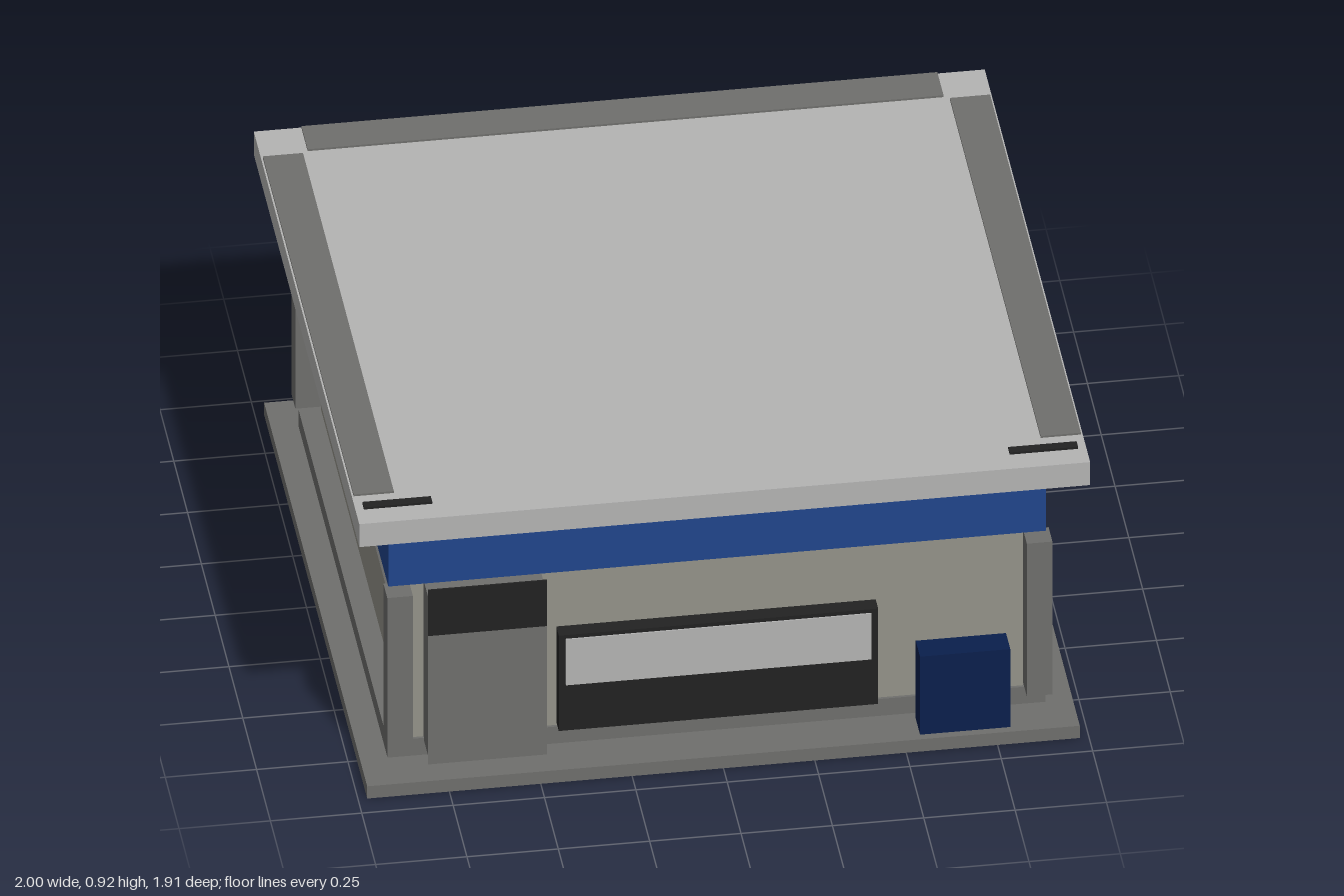
import * as THREE from 'three';

const material = (name, color) => {
  const m = new THREE.MeshStandardMaterial({ color });
  m.name = name;
  return m;
};

export function createModel() {
  const group = new THREE.Group();
  const light = material('lightGrey', 0xb4b4b3);
  const wall = material('warmGrey', 0x949389);
  const grey = material('midGrey', 0x6f6f6d);
  const black = material('black', 0x222222);
  const blue = material('blue', 0x20458c);
  const navy = material('navy', 0x0a1f4c);

  // Box given by its extents along each axis
  const box = (name, mat, [x0, x1], [y0, y1], [z0, z1]) => {
    const mesh = new THREE.Mesh(new THREE.BoxGeometry(x1 - x0, y1 - y0, z1 - z0), mat);
    mesh.position.set((x0 + x1) / 2, (y0 + y1) / 2, (z0 + z1) / 2);
    mesh.name = name;
    group.add(mesh);
  };
  const span = (side, a, b) => (side > 0 ? [a, b] : [-b, -a]);

  // Ground slab, plinth and walls
  box('baseSlab', grey, [-0.975, 0.975], [0, 0.04], [-0.933, 0.933]);
  box('plinth', grey, [-0.9, 0.9], [0.04, 0.095], [-0.805, 0.805]);
  box('walls', wall, [-0.84, 0.84], [0.095, 0.61], [-0.797, 0.797]);

  // Fascia, cornice and roof
  box('fascia', blue, [-0.9, 0.9], [0.61, 0.77], [-0.82, 0.82]);
  box('cornice', grey, [-0.89, 0.89], [0.77, 0.84], [-0.838, 0.838]);
  box('roof', light, [-1, 1], [0.84, 0.915], [-0.955, 0.955]);
  box('backRoofStrip', grey, [-0.87, 0.87], [0.915, 0.921], [-0.953, -0.84]);

  for (const side of [1, -1]) {
    // Corner posts
    for (const end of [1, -1]) {
      box('cornerPost', grey, span(side, 0.84, 0.91), [0.105, 0.605], span(end, 0.797, 0.867));
    }
    // Side rails, roof strips and front roof brackets
    box('sideRail', light, span(side, 0.84, 0.882), [0.5, 0.545], [-0.75, 0.75]);
    box('sideRoofStrip', grey, span(side, 0.885, 0.995), [0.915, 0.921], [-0.825, 0.82]);
    box('roofBracket', black, span(side, 0.79, 0.977), [0.803, 0.922], [0.86, 0.887]);
  }
  box('backRail', light, [-0.8, 0.8], [0.5, 0.545], [-0.84, -0.797]);

  // Door porch with a dark transom
  box('doorPorch', grey, [-0.8, -0.48], [0.085, 0.605], [0.797, 0.908]);
  box('doorPanel', grey, [-0.805, -0.48], [0.08, 0.5], [0.908, 0.912]);
  box('doorTransom', black, [-0.805, -0.48], [0.5, 0.65], [0.908, 0.912]);

  // Front window
  box('windowFrame', black, [-0.437, 0.437], [0.105, 0.417], [0.797, 0.842]);
  box('windowPane', light, [-0.418, 0.418], [0.255, 0.405], [0.842, 0.846]);

  // Storage bin beside the window
  box('storageBin', navy, [0.54, 0.787], [0.045, 0.3], [0.84, 0.918]);

  return group;
}
